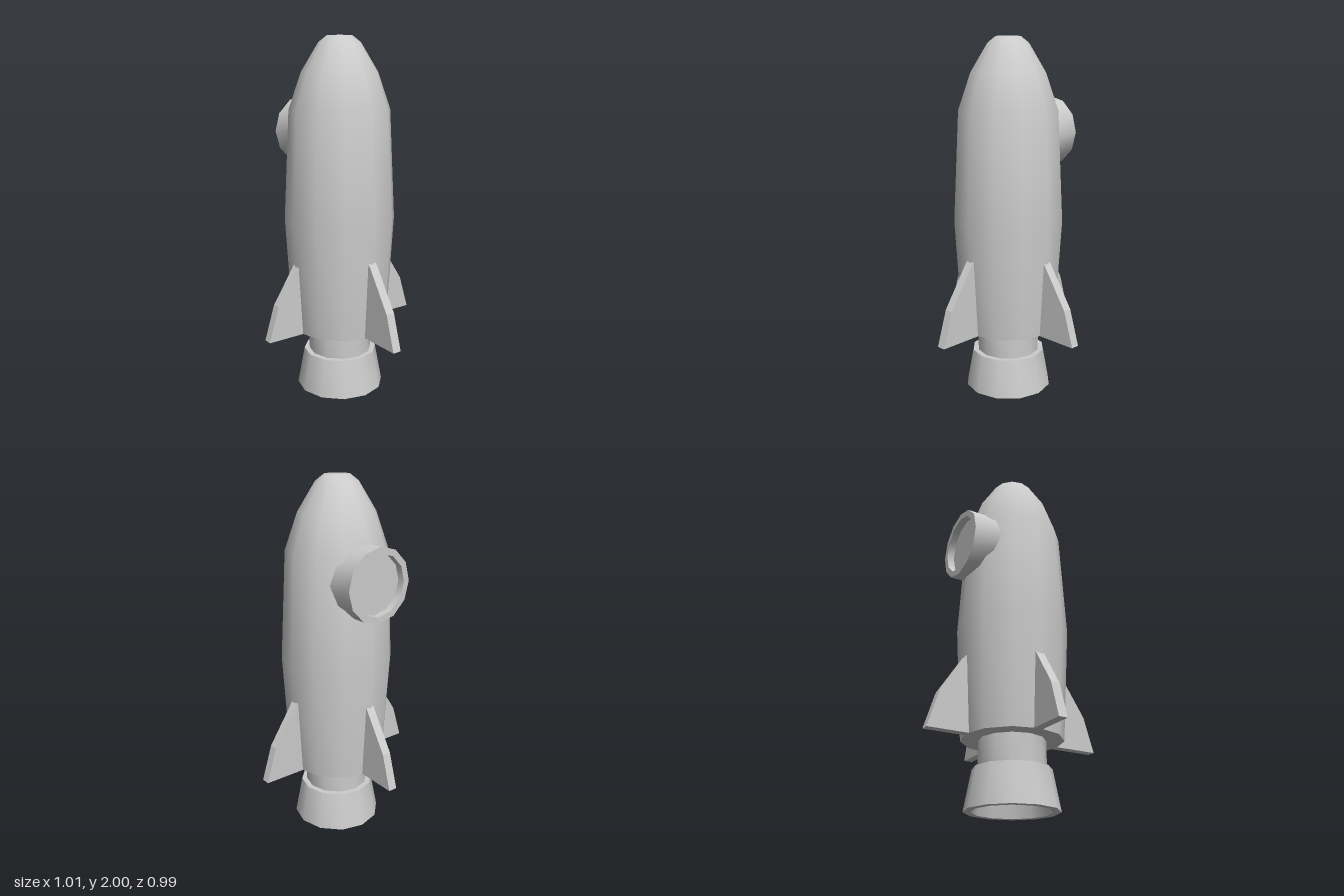
import * as THREE from 'three';
import { toCreasedNormals } from 'three/addons/utils/BufferGeometryUtils.js';

const SIDES = 12;
const material = new THREE.MeshStandardMaterial({ color: 0xcccccc });

function makeMesh(name, geometry, crease = 0.9) {
  const mesh = new THREE.Mesh(toCreasedNormals(geometry, crease), material);
  mesh.name = name;
  return mesh;
}

// Twelve-sided turned part from [radius, height] pairs
function turned(name, profile) {
  const points = profile.map(([r, y]) => new THREE.Vector2(r, y));
  return makeMesh(name, new THREE.LatheGeometry(points, SIDES));
}

export function createModel() {
  const rocket = new THREE.Group();
  rocket.name = 'rocket';

  // Hull, engine neck and bell share one axis
  const core = new THREE.Group();
  core.name = 'core';
  core.position.set(-0.01, 0, 0.008);
  core.add(
    turned('hull', [[0, 0.365], [0.275, 0.365], [0.312, 1], [0.28, 1.61],
      [0.21, 1.81], [0.115, 1.965], [0.07, 2], [0, 2]]),
    turned('engineNeck', [[0, 0.21], [0.18, 0.21], [0.18, 0.37]]),
    turned('engineBell', [[0.21, 0], [0.25, 0], [0.21, 0.215], [0.17, 0.215], [0.21, 0]]),
  );
  rocket.add(core);

  // Porthole on the right side: thick rim with a recessed pane
  const porthole = new THREE.Group();
  porthole.name = 'porthole';
  porthole.position.set(-0.15, 1.475, 0.012);
  porthole.rotation.z = Math.PI / 2;
  porthole.add(
    turned('portholeRim', [[0.2, 0], [0.2, 0.21], [0.165, 0.21], [0.165, 0.1]]),
    turned('portholePane', [[0.166, 0.168], [0, 0.168]]),
  );
  rocket.add(porthole);

  // Four swept fins, their roots buried in the hull
  const outline = [[0.2, 0.365], [0.505, 0.365], [0.445, 0.56], [0.3, 0.785], [0.2, 0.9]];
  const finShape = new THREE.Shape(outline.map(([x, y]) => new THREE.Vector2(x, y)));
  const finGeometry = new THREE.ExtrudeGeometry(finShape, { depth: 0.05, bevelEnabled: false });
  finGeometry.translate(0, 0, -0.025);
  const finOffsets = [
    ['leftFin', 0, 0.005], ['backFin', -0.015, 0.008],
    ['rightFin', -0.005, 0.01], ['frontFin', -0.015, -0.012],
  ];
  finOffsets.forEach(([name, x, z], i) => {
    const fin = makeMesh(name, finGeometry, 0.2);
    fin.position.set(x, 0, z);
    fin.rotation.y = i * Math.PI / 2;
    rocket.add(fin);
  });

  return rocket;
}
